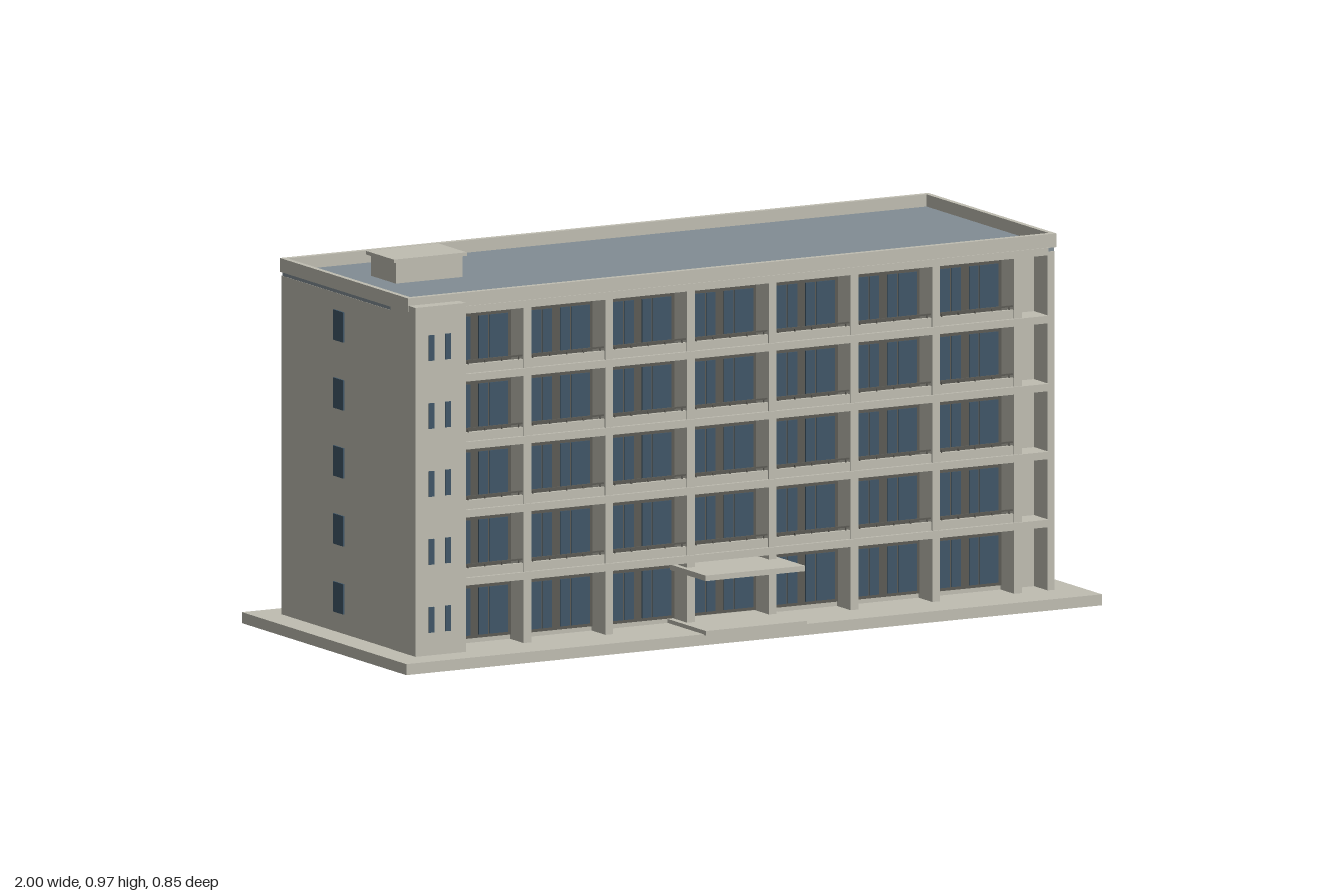
import * as THREE from 'three';

const mat = (name, color) => Object.assign(new THREE.MeshStandardMaterial({ color }), { name });

export function createModel() {
  const concrete = mat('concrete', 0xbfbdb1);
  const glass = mat('glass', 0x405667);
  const frame = mat('window frame', 0x5c5b55);
  const roofing = mat('roofing', 0x828d94);
  const hedgeGreen = mat('hedge green', 0x56785f);

  const model = new THREE.Group();
  model.name = 'apartmentBlock';

  // Box given by its two corners
  const box = (parent, name, m, x0, x1, y0, y1, z0, z1) => {
    const mesh = new THREE.Mesh(new THREE.BoxGeometry(x1 - x0, y1 - y0, z1 - z0), m);
    mesh.position.set((x0 + x1) / 2, (y0 + y1) / 2, (z0 + z1) / 2);
    mesh.name = name;
    parent.add(mesh);
    return mesh;
  };

  const FLOORS = 5, PITCH = 0.173, GROUND = 0.028;
  const BAYS = 7, BAY = 0.235, FIRST = -BAYS * BAY / 2;
  const FRONT = 0.30, BACK = -0.35, RECESS = 0.07;
  const floorY = (i) => (i === 0 ? GROUND : 0.036 + i * PITCH);

  // Ground plate, entrance step, hedge
  box(model, 'groundPlate', concrete, -1, 1, 0, GROUND, -0.425, 0.414);
  box(model, 'entranceStep', concrete, -0.145, 0.145, GROUND - 0.002, 0.038, 0.23, 0.425);
  box(model, 'hedge', hedgeGreen, -0.875, 0.875, GROUND, 0.033, -0.42, -0.388);

  // Core and end walls
  box(model, 'core', concrete, -0.91, 0.91, GROUND, 0.89, BACK + RECESS, FRONT - RECESS);
  for (const s of [-1, 1]) {
    const xa = s * 0.908, xb = s * 0.928;
    box(model, 'endWall', concrete, Math.min(xa, xb), Math.max(xa, xb), GROUND, 0.89, BACK, FRONT);
    for (let i = 0; i < FLOORS; i++) {
      const y = 0.078 + i * PITCH;
      box(model, 'endWindow', glass, s * 0.929 - 0.003, s * 0.929 + 0.003, y, y + 0.077, -0.081, -0.03);
    }
  }

  // One balcony facade, built facing +z with its outer plane at z = 0
  const facade = (name) => {
    const g = new THREE.Group();
    g.name = name;
    for (let c = 0; c <= BAYS; c++) {
      const x = FIRST + c * BAY;
      box(g, 'column', concrete, x - 0.011, x + 0.011, GROUND, 0.89, -RECESS, 0);
    }
    for (let i = 0; i < FLOORS; i++) {
      const y = floorY(i);
      const top = floorY(i + 1) - 0.019;
      box(g, 'floorSlab', concrete, -0.908, 0.908, top, top + 0.019, -RECESS, 0.005);
      for (let b = 0; b < BAYS; b++) {
        const x = FIRST + (b + 0.5) * BAY;
        const w0 = y + 0.012, w1 = top - 0.014, z = -RECESS;
        box(g, 'windowFrame', frame, x - 0.106, x + 0.106, w0, w1, z, z + 0.006);
        // Two windows per bay, each with a wide and a narrow pane
        for (const s of [-1, 1]) {
          for (const [a, e] of [[0.012, 0.039], [0.043, 0.096]]) {
            const xs = [x + s * a, x + s * e].sort((p, q) => p - q);
            box(g, 'pane', glass, xs[0], xs[1], w0 + 0.008, w1 - 0.008, z + 0.005, z + 0.009);
          }
        }
        if (i > 0) {
          // Low balcony wall with a dark handrail
          const x0 = x - 0.107, x1 = x + 0.107;
          box(g, 'balconyWall', concrete, x0, x1, y, y + 0.022, -0.014, -0.004);
          box(g, 'handrail', frame, x0, x1, y + 0.029, y + 0.033, -0.011, -0.007);
          for (let k = 0; k < 5; k++) {
            const px = x0 + 0.01 + k * 0.0485;
            box(g, 'railPost', frame, px - 0.0015, px + 0.0015, y + 0.02, y + 0.03, -0.0105, -0.0075);
          }
        }
      }
    }
    model.add(g);
    return g;
  };
  facade('frontFacade').position.z = FRONT;
  const rear = facade('backFacade');
  rear.rotation.y = Math.PI;
  rear.position.z = BACK;

  // Stair tower with slit windows
  box(model, 'stairTower', concrete, -0.93, -0.785, GROUND, 0.916, 0.21, 0.336);
  for (let i = 0; i < FLOORS; i++) {
    const y = 0.086 + i * PITCH;
    for (const x of [-0.885, -0.837]) {
      box(model, 'slitWindow', glass, x - 0.008, x + 0.008, y, y + 0.065, 0.334, 0.339);
    }
  }

  // Roof deck and parapet
  box(model, 'roofDeck', roofing, -0.927, 0.927, 0.89, 0.904, BACK + 0.003, FRONT - 0.003);
  const P0 = 0.9, P1 = 0.935, T = 0.014;
  box(model, 'parapetFront', concrete, -0.932, 0.932, P0, P1, FRONT - T, FRONT + 0.002);
  box(model, 'parapetBack', concrete, -0.932, 0.932, P0, P1, BACK - 0.002, BACK + T);
  box(model, 'parapetLeft', concrete, 0.932 - T, 0.932, P0, P1, BACK + T, FRONT - T);
  box(model, 'parapetRight', concrete, -0.932, -0.932 + T, P0, P1, BACK + T, FRONT - T);

  // Roof hut
  box(model, 'roofHut', concrete, -0.772, -0.58, 0.9, 0.959, -0.172, -0.044);
  box(model, 'roofHutCap', concrete, -0.782, -0.572, 0.958, 0.967, -0.18, -0.037);

  // Entrance canopy
  box(model, 'entranceCanopy', concrete, -0.143, 0.143, 0.164, 0.178, FRONT - RECESS, 0.42);

  return model;
}
